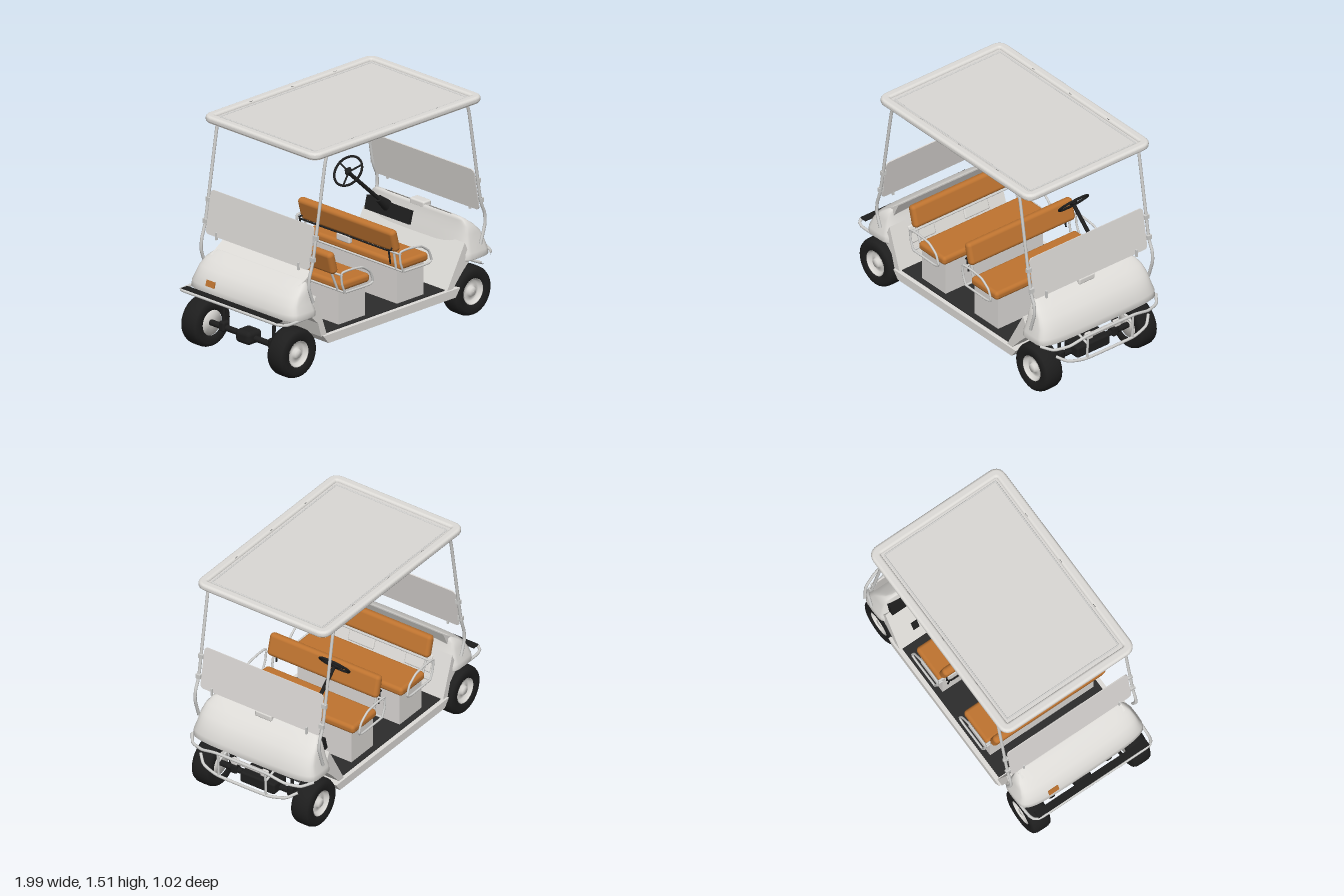
import * as THREE from 'three';
import { RoundedBoxGeometry } from 'three/addons/geometries/RoundedBoxGeometry.js';

const mat = (name, color, side = THREE.FrontSide) => {
  const m = new THREE.MeshStandardMaterial({ color, side });
  m.name = name;
  return m;
};

export function createModel() {
  const cart = new THREE.Group();
  cart.name = 'cart';
  const white = mat('body white', 0xdedcd8, THREE.DoubleSide);
  const panel = mat('panel white', 0xdbd8d5);
  const metal = mat('tube metal', 0xd0d0ce);
  const grey = mat('dark grey', 0x555555);
  const black = mat('black', 0x1e1e1e);
  const matting = mat('floor mat', 0x2c2c2c);
  const orange = mat('orange vinyl', 0xbf7430);

  const V = (p) => new THREE.Vector3(...p);
  const add = (name, geo, m, pos = [0, 0, 0], parent = cart) => {
    const mesh = new THREE.Mesh(geo, m);
    mesh.name = name;
    mesh.position.set(...pos);
    parent.add(mesh);
    return mesh;
  };
  const box = (name, m, size, pos, parent) => add(name, new THREE.BoxGeometry(...size), m, pos, parent);
  const soft = (name, m, size, r, pos, parent) => add(name, new RoundedBoxGeometry(...size, 3, r), m, pos, parent);
  // smooth bent pipe through points
  const pipe = (name, m, pts, r, parent) => add(name, new THREE.TubeGeometry(
    new THREE.CatmullRomCurve3(pts.map(V), false, 'catmullrom', 0.25), pts.length * 6, r, 8), m, [0, 0, 0], parent);
  // straight rod between two points
  const rod = (name, m, a, b, r, parent, r2 = r) => {
    const d = V(b).sub(V(a));
    const mesh = add(name, new THREE.CylinderGeometry(r2, r, d.length(), 12), m, [0, 0, 0], parent);
    mesh.position.copy(V(a)).addScaledVector(d, 0.5);
    mesh.quaternion.setFromUnitVectors(new THREE.Vector3(0, 1, 0), d.normalize());
    return mesh;
  };
  // side outline (x, y) extruded across z
  const across = (name, m, pts, halfZ, parent) => {
    const g = new THREE.ExtrudeGeometry(new THREE.Shape(pts.map((p) => new THREE.Vector2(...p))),
      { depth: halfZ * 2, bevelEnabled: false });
    return add(name, g.translate(0, 0, -halfZ), m, [0, 0, 0], parent);
  };
  const roundRect = (S, x0, x1, hz, r) => {
    const s = new S();
    s.moveTo(x0 + r, -hz).lineTo(x1 - r, -hz).quadraticCurveTo(x1, -hz, x1, -hz + r);
    s.lineTo(x1, hz - r).quadraticCurveTo(x1, hz, x1 - r, hz);
    s.lineTo(x0 + r, hz).quadraticCurveTo(x0, hz, x0, hz - r);
    s.lineTo(x0, -hz + r).quadraticCurveTo(x0, -hz, x0 + r, -hz);
    return s;
  };

  // Floor pan and mat
  across('floorPan', white, [[-0.565, 0.178], [0.57, 0.178], [0.61, 0.235], [-0.61, 0.235]], 0.47);
  box('floorMat', matting, [1.06, 0.006, 0.88], [-0.03, 0.238, 0]);

  // Cowl shell: stacked rounded plan outlines [y, inner x, outer x, half width]
  const rings = [[0.39, 0.7, 0.8, 0.2], [0.39, 0.63, 0.895, 0.47], [0.40, 0.63, 0.91, 0.482], [0.44, 0.635, 0.905, 0.478],
    [0.50, 0.65, 0.885, 0.46], [0.56, 0.665, 0.85, 0.45], [0.61, 0.68, 0.795, 0.435],
    [0.645, 0.685, 0.745, 0.41], [0.662, 0.69, 0.72, 0.38], [0.664, 0.7, 0.71, 0.3]];
  const N = 40;
  const cowlGeometry = (rise) => {
    const pos = [], idx = [];
    const pw = (c) => Math.sign(c) * Math.abs(c) ** 0.42;
    rings.forEach(([y, x0, x1, w], i) => {
      const h = y > 0.44 ? 0.44 + (y - 0.44) * rise : y;
      for (let j = 0; j < N; j++) {
        const a = (j / N) * Math.PI * 2;
        pos.push((x0 + x1) / 2 + ((x1 - x0) / 2) * pw(Math.cos(a)), h, w * pw(Math.sin(a)));
        if (i === rings.length - 1) continue;
        const p = i * N + j, q = i * N + ((j + 1) % N);
        idx.push(p, p + N, q, q, p + N, q + N);
      }
    });
    const g = new THREE.BufferGeometry();
    g.setAttribute('position', new THREE.Float32BufferAttribute(pos, 3));
    g.setIndex(idx);
    g.computeVertexNormals();
    return g;
  };
  const cowl = (name, foot, rise) => {
    const g = new THREE.Group();
    g.name = name;
    add('cowlShell', cowlGeometry(rise), white, [0, 0, 0], g);
    across('footWall', white, [[foot, 0.23], [foot + 0.05, 0.23], [0.645, 0.33], [0.72, 0.40], [0.665, 0.52]], 0.455, g);
    cart.add(g);
    return g;
  };
  const front = cowl('frontCowl', 0.505, 1);
  const rear = cowl('rearCowl', 0.565, 0.82);
  rear.rotation.y = Math.PI;
  soft('cowlBadgeBump', white, [0.07, 0.045, 0.13], 0.012, [0.72, 0.66, 0], front);
  across('rearLip', white, [[0.76, 0.595], [0.69, 0.57], [0.645, 0.668], [0.7, 0.628]], 0.4, rear);
  box('rearLamp', orange, [0.009, 0.04, 0.075], [0.9, 0.47, 0.255], rear).rotation.z = 0.3;
  // Storage pockets on the rear inner wall
  for (const z of [-0.22, 0.22]) soft('pocket', white, [0.025, 0.12, 0.2], 0.01, [0.632, 0.42, z], rear).rotation.z = -0.33;

  // Dashboard and pedals
  box('dashPanel', black, [0.04, 0.09, 0.4], [0.665, 0.56, -0.22]).rotation.z = -0.25;
  for (const z of [-0.3, -0.2]) box('pedal', black, [0.015, 0.06, 0.045], [0.562, 0.33, z]).rotation.z = -0.5;

  // Steering
  rod('steeringColumn', black, [0.32, 0.9, -0.245], [0.67, 0.575, -0.245], 0.013);
  rod('columnShroud', black, [0.59, 0.65, -0.245], [0.68, 0.57, -0.245], 0.024, cart, 0.04);
  const wheel = new THREE.Group();
  wheel.name = 'steeringWheel';
  wheel.position.set(0.318, 0.91, -0.245);
  wheel.quaternion.setFromUnitVectors(new THREE.Vector3(0, 0, 1), new THREE.Vector3(-0.74, 0.67, 0).normalize());
  add('wheelRim', new THREE.TorusGeometry(0.104, 0.008, 8, 32), black, [0, 0, 0], wheel);
  for (const a of [0, 2.1, 4.2]) rod('spoke', black, [0, 0, -0.01], [Math.cos(a) * 0.1, Math.sin(a) * 0.1, 0], 0.006, wheel);
  soft('wheelHub', black, [0.045, 0.045, 0.022], 0.01, [0, 0, 0], wheel);
  cart.add(wheel);

  // Bench seats: [base x, backrest offset]
  for (const [x, back] of [[-0.29, -0.185], [0.232, -0.15]]) {
    const seat = new THREE.Group();
    seat.name = 'benchSeat';
    seat.position.x = x;
    box('seatBase', panel, [0.235, 0.24, 0.8], [0, 0.355, 0], seat);
    soft('cushion', orange, [0.262, 0.06, 0.86], 0.024, [0.008, 0.5, 0], seat);
    soft('backrest', orange, [0.058, 0.155, 0.86], 0.026, [back, 0.68, 0], seat).rotation.z = 0.26;
    for (const s of [-1, 1]) {
      const z = s * 0.465;
      pipe('armrest', metal, [[-0.125, 0.478, z], [-0.15, 0.54, z], [-0.155, 0.615, z], [-0.08, 0.622, z],
        [0.03, 0.61, z], [0.1, 0.56, z], [0.125, 0.49, z], [0.08, 0.475, z], [-0.125, 0.478, z]], 0.0075, seat);
      rod('backSupport', metal, [back, 0.62, s * 0.4], [-0.125, 0.48, s * 0.4], 0.008, seat);
    }
    rod('rearRail', metal, [-0.15, 0.6, -0.465], [-0.15, 0.6, 0.465], 0.007, seat);
    rod('baseRail', metal, [-0.125, 0.478, -0.465], [-0.125, 0.478, 0.465], 0.007, seat);
    cart.add(seat);
  }
  // Rack behind the front bench
  pipe('rackRail', black, [[0.07, 0.635, -0.4], [0.035, 0.625, -0.4], [0.035, 0.625, 0], [0.035, 0.625, 0.4], [0.07, 0.635, 0.4]], 0.006);
  for (const z of [-0.4, 0.4]) rod('rackStrut', black, [0.04, 0.625, z], [0.055, 0.53, z], 0.006);
  soft('rackClasp', panel, [0.03, 0.05, 0.12], 0.01, [0.04, 0.6, 0]);

  // Roof: rounded rim around a recessed panel
  const rim = roundRect(THREE.Shape, -0.711, 0.771, 0.494, 0.06);
  rim.holes.push(roundRect(THREE.Path, -0.685, 0.745, 0.468, 0.03));
  const up = (g) => g.rotateX(-Math.PI / 2);
  add('roofRim', up(new THREE.ExtrudeGeometry(rim, { depth: 0.01, bevelSize: 0.018, bevelThickness: 0.018, bevelSegments: 5 })), white, [0, 1.48, 0]);
  add('roofPanel', up(new THREE.ExtrudeGeometry(roundRect(THREE.Shape, -0.715, 0.775, 0.497, 0.06),
    { depth: 0.03, bevelEnabled: false })), panel, [0, 1.459, 0]);
  for (const s of [-1, 1]) {
    rod('roofSeam', metal, [-0.64, 1.489, s * 0.432], [0.71, 1.489, s * 0.432], 0.005);
    for (const x of [-0.34, 0.03, 0.41]) box('roofClip', grey, [0.025, 0.01, 0.012], [x, 1.5, s * 0.462]);
  }
  for (const x of [-0.64, 0.71]) rod('roofSeam', metal, [x, 1.489, -0.432], [x, 1.489, 0.432], 0.005);

  // Roof posts with brackets
  for (const s of [-1, 1]) {
    const z = s * 0.485;
    pipe('frontPost', metal, [[0.655, 1.465, z], [0.675, 1.4, z], [0.773, 0.8, z], [0.81, 0.7, z], [0.815, 0.62, z], [0.775, 0.49, z]], 0.0105);
    pipe('rearPost', metal, [[-0.595, 1.465, z], [-0.615, 1.4, z], [-0.715, 0.8, z], [-0.75, 0.68, z], [-0.755, 0.6, z], [-0.72, 0.5, z]], 0.0105);
    for (const [x, y] of [[0.755, 0.93], [0.782, 0.79], [-0.693, 0.93], [-0.72, 0.79]]) box('postBracket', metal, [0.022, 0.03, 0.035], [x, y, s * 0.482]);
    for (const x of [0.795, -0.735]) box('screenFoot', metal, [0.015, 0.05, 0.012], [x, 0.72, s * 0.37]);
  }
  // Front and rear screens
  const screenShape = up(new THREE.ExtrudeGeometry(roundRect(THREE.Shape, -0.145, 0.145, 0.465, 0.03), { depth: 0.008, bevelEnabled: false }));
  for (const [name, x, tilt] of [['frontScreen', 0.765, 0.17], ['rearScreen', -0.705, -0.17]]) {
    add(name, screenShape, panel, [x, 0.856, 0]).rotation.z = Math.PI / 2 + tilt;
  }

  // Wheels
  const vec = (pts) => pts.map((p) => new THREE.Vector2(...p));
  const tyreGeo = new THREE.LatheGeometry(vec([[0.085, -0.06], [0.1, -0.07], [0.135, -0.073], [0.155, -0.062], [0.164, -0.04],
    [0.165, 0], [0.164, 0.04], [0.155, 0.062], [0.135, 0.073], [0.1, 0.07], [0.085, 0.06]]), 28).rotateX(Math.PI / 2);
  const rimGeo = new THREE.LatheGeometry(vec([[0.001, -0.05], [0.09, -0.05], [0.092, 0.062], [0.082, 0.062], [0.07, 0.035],
    [0.035, 0.04], [0.028, 0.06], [0.001, 0.062]]), 28).rotateX(Math.PI / 2);
  for (const x of [-0.813, 0.745]) {
    for (const s of [-1, 1]) {
      const g = new THREE.Group();
      g.name = 'roadWheel';
      g.position.set(x, 0.165, s * 0.388);
      if (s < 0) g.rotation.y = Math.PI;
      add('tyre', tyreGeo, black, [0, 0, 0], g);
      add('rim', rimGeo, white, [0, 0, 0], g);
      cart.add(g);
      const z = s * 0.225;
      rod('shockBody', black, [x, 0.19, z], [x + 0.005, 0.32, z], 0.012);
      rod('shockSpring', x > 0 ? orange : black, [x + 0.005, 0.31, z], [x + 0.01, 0.42, z], 0.014);
      soft('axleKnuckle', black, [0.06, 0.07, 0.05], 0.015, [x, 0.175, s * 0.22]);
    }
    rod('axle', black, [x, 0.165, -0.35], [x, 0.165, 0.35], 0.02);
  }
  soft('frontGearbox', black, [0.14, 0.08, 0.27], 0.015, [0.75, 0.18, 0]);
  soft('rearDifferential', black, [0.13, 0.09, 0.13], 0.03, [-0.813, 0.17, 0]);
  // Under-floor drive unit
  box('driveTray', grey, [0.34, 0.045, 0.26], [0.42, 0.153, -0.18]);
  soft('driveUnit', black, [0.19, 0.05, 0.3], 0.012, [0.49, 0.14, -0.05]);

  // Front bumper and winch
  pipe('bumperTop', metal, [[0.86, 0.40, 0.475], [0.93, 0.385, 0.42], [0.97, 0.395, 0.32], [0.985, 0.425, 0.19], [0.985, 0.425, -0.19],
    [0.97, 0.395, -0.32], [0.93, 0.385, -0.42], [0.86, 0.40, -0.475]], 0.01);
  pipe('bumperLower', metal, [[0.9, 0.305, 0.38], [0.95, 0.27, 0.32], [0.975, 0.25, 0.19], [0.975, 0.25, -0.19], [0.95, 0.27, -0.32], [0.9, 0.305, -0.38]], 0.01);
  for (const s of [-1, 1]) {
    rod('bumperUpright', metal, [0.985, 0.425, s * 0.185], [0.975, 0.25, s * 0.185], 0.008);
    rod('bumperStay', metal, [0.98, 0.36, s * 0.185], [0.86, 0.4, s * 0.185], 0.008);
  }
  rod('winchDrum', panel, [0.9, 0.352, -0.14], [0.9, 0.352, 0.14], 0.016);
  for (const z of [-0.12, 0.11]) soft('winchEnd', panel, [0.04, 0.04, 0.05], 0.01, [0.9, 0.352, z]);

  // Rear bumper
  box('rearBumperStep', black, [0.05, 0.008, 0.86], [-0.96, 0.417, 0]);
  pipe('rearBumperTube', metal, [[-0.78, 0.4, 0.47], [-0.93, 0.395, 0.465], [-0.985, 0.405, 0.42], [-0.985, 0.405, 0],
    [-0.985, 0.405, -0.42], [-0.93, 0.395, -0.465], [-0.78, 0.4, -0.47]], 0.01);
  return cart;
}
